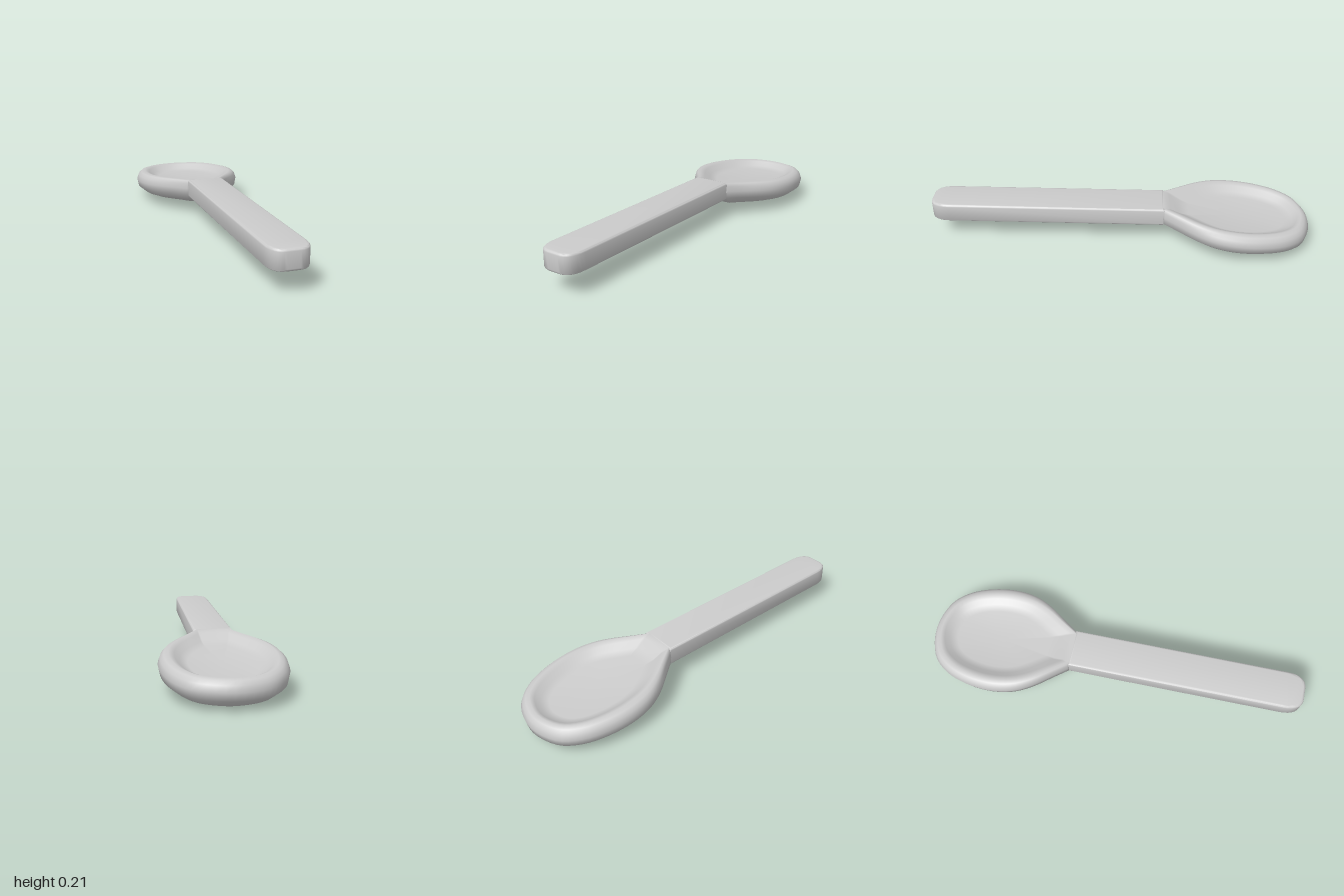
import * as THREE from 'three';
import { mergeVertices, toCreasedNormals } from 'three/addons/utils/BufferGeometryUtils.js';

const NECK = -0.22, MID = -0.62, TIP = -1, TOP = 0.207;

// Half outline of the bowl from neck to tip, smoothed and mirrored
function bowlOutline() {
  const half = [[0.095, NECK], [0.155, -0.3], [0.23, -0.4], [0.278, -0.5], [0.295, MID],
    [0.28, -0.75], [0.235, -0.87], [0.15, -0.96], [0, TIP]];
  const pts = [...half, ...half.slice(0, -1).reverse().map(([x, z]) => [-x, z])];
  return new THREE.SplineCurve(pts.map(p => new THREE.Vector2(...p))).getPoints(64);
}

// Bowl skin: the outline is resized ring by ring, from under the bowl round the rim into the dish
function bowlGeometry() {
  // half width, neck z, tip z, depth below the sloping top plane
  const rings = [
    [0, MID, MID, -0.153],
    [0.15, -0.34, -0.87, -0.148],
    [0.2, -0.31, -0.91, -0.138],
    [0.245, -0.27, -0.95, -0.122],
    [0.287, NECK, -0.992, -0.088],
    [0.295, NECK, TIP, -0.05],
    [0.285, NECK, -0.99, -0.022],
    [0.268, NECK, -0.975, -0.006],
    [0.245, -0.225, -0.955, 0],
    [0.22, -0.26, -0.935, -0.009],
    [0.195, -0.31, -0.91, -0.033],
    [0.16, -0.36, -0.87, -0.046],
    [0, MID, MID, -0.052]
  ];
  const outline = bowlOutline(), n = outline.length, pos = [], idx = [];
  rings.forEach(([w, neck, tip, d], r) => {
    outline.forEach((p, i) => {
      const k = p.y > MID ? (neck - MID) / (NECK - MID) : (tip - MID) / (TIP - MID);
      const z = MID + (p.y - MID) * k;
      pos.push(p.x * w / 0.295, TOP - (NECK - z) * 0.09 + d, z);
      if (r === rings.length - 1) return;
      const a = r * n + i, b = r * n + (i + 1) % n;
      idx.push(a, b, b + n, a, b + n, a + n);
    });
  });
  let g = new THREE.BufferGeometry();
  g.setAttribute('position', new THREE.Float32BufferAttribute(pos, 3));
  g.setIndex(idx);
  g = mergeVertices(g, 1e-4);
  g.computeVertexNormals();
  return g;
}

// Flat bar with a rounded free end and softened edges
function handleGeometry() {
  const w = 0.099, b = 0.012, end = 1, s = new THREE.Shape();
  s.moveTo(-w, NECK - 0.01);
  s.lineTo(w, NECK - 0.01);
  s.lineTo(w, end - 0.1);
  s.bezierCurveTo(w, end - 0.03, 0.07, end, 0.03, end);
  s.lineTo(-0.03, end);
  s.bezierCurveTo(-0.07, end, -w, end - 0.03, -w, end - 0.1);
  s.closePath();
  const g = new THREE.ExtrudeGeometry(s, {
    depth: 0.1 - 2 * b, bevelSize: b, bevelThickness: b, bevelOffset: -b, bevelSegments: 3, curveSegments: 8
  });
  g.rotateX(Math.PI / 2).translate(0, TOP - b, 0);
  return toCreasedNormals(g, 1);
}

export function createModel() {
  const group = new THREE.Group();
  group.name = 'spoon';
  const material = new THREE.MeshStandardMaterial({ color: 0xcccccc });
  const add = (name, geometry) => {
    const mesh = new THREE.Mesh(geometry, material);
    mesh.name = name;
    group.add(mesh);
  };
  add('bowl', bowlGeometry());
  add('handle', handleGeometry());
  return group;
}
